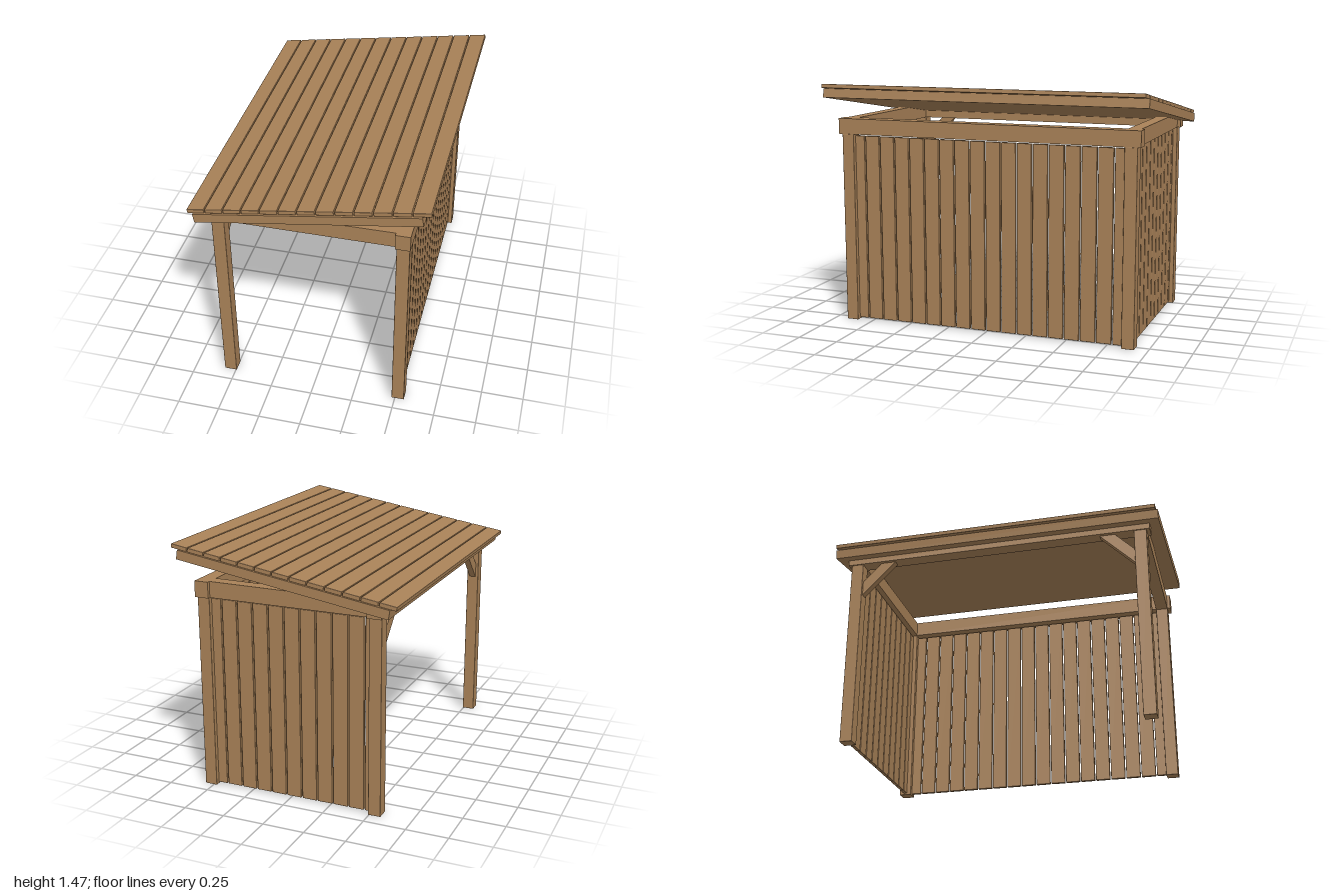
import * as THREE from 'three';
import { RoundedBoxGeometry } from 'three/addons/geometries/RoundedBoxGeometry.js';

export function createModel() {
  const model = new THREE.Group();
  model.name = 'leanToShelter';
  const wood = new THREE.MeshStandardMaterial({ color: 0xa98258 });
  wood.name = 'brown timber';

  // timber with optional slightly eased edges
  const timber = (name, size, pos, parent = model, ease = 0) => {
    const geo = ease ? new RoundedBoxGeometry(...size, 1, ease) : new THREE.BoxGeometry(...size);
    const mesh = new THREE.Mesh(geo, wood);
    mesh.name = name;
    mesh.position.set(...pos);
    parent.add(mesh);
    return mesh;
  };
  const group = (name) => {
    const g = new THREE.Group();
    g.name = name;
    model.add(g);
    return g;
  };

  const postX = { left: -0.5325, right: 0.5175 };
  const postZ = 0.8825;
  const beamTop = 1.26, postTop = 1.165;

  // corner posts and the beams along both sides
  for (const side of ['left', 'right']) {
    for (const s of [1, -1]) {
      timber(`${side}${s > 0 ? 'Front' : 'Back'}Post`, [0.075, postTop, 0.075],
        [postX[side], postTop / 2, s * postZ], model, 0.003);
    }
    const top = side === 'left' ? 1.25 : beamTop;
    timber(`${side}Beam`, [0.085, top - postTop, 1.88], [postX[side], (top + postTop) / 2, 0]);
  }

  // cross beams, with their tops kept beneath the low end of the roof
  for (const s of [1, -1]) {
    const shape = new THREE.Shape();
    shape.moveTo(-0.49, postTop);
    shape.lineTo(0.475, postTop);
    shape.lineTo(0.475, beamTop);
    shape.lineTo(-0.49, 1.255);
    const geo = new THREE.ExtrudeGeometry(shape, { depth: 0.075, bevelEnabled: false });
    const beam = new THREE.Mesh(geo, wood);
    beam.name = s > 0 ? 'frontBeam' : 'backBeam';
    beam.position.z = s * postZ - 0.0375;
    model.add(beam);
  }

  // diagonal braces on the open left side
  for (const s of [1, -1]) {
    const shape = new THREE.Shape();
    shape.moveTo(-s * 0.845, 0.96);
    shape.lineTo(-s * 0.845, 1.05);
    shape.lineTo(-s * 0.73, postTop);
    shape.lineTo(-s * 0.64, postTop);
    const geo = new THREE.ExtrudeGeometry(shape, { depth: 0.04, bevelEnabled: false });
    const brace = new THREE.Mesh(geo, wood);
    brace.name = s > 0 ? 'frontBrace' : 'backBrace';
    brace.rotation.y = Math.PI / 2;
    brace.position.x = postX.left - 0.02;
    model.add(brace);
  }

  // wall boards, with their ends let into the posts
  const pitch = 0.0977, boardW = 0.09, boardH = 1.145, boardY = 0.5825;
  const rightWall = group('rightWall');
  for (let i = 0; i < 18; i++) {
    timber('rightWallBoard', [0.022, boardH, boardW],
      [postX.right, boardY, (i - 8.5) * pitch], rightWall, 0.003);
  }
  const backWall = group('backWall');
  for (let i = 0; i < 11; i++) {
    timber('backWallBoard', [boardW, boardH, 0.022],
      [-0.51 + i * pitch, boardY, -postZ], backWall, 0.003);
  }

  // sloping roof: solid deck covered by long boards
  const roof = group('roof');
  roof.position.set(-0.005, 1.317, 0);
  roof.rotation.z = THREE.MathUtils.degToRad(9);
  timber('roofDeck', [1.287, 0.054, 2], [0, 0, 0], roof);
  for (let i = 0; i < 13; i++) {
    timber('roofBoard', [0.1, 0.024, 1.976], [0.008 + (i - 6) * 0.1057, 0.0385, 0], roof, 0.003);
  }

  return model;
}
